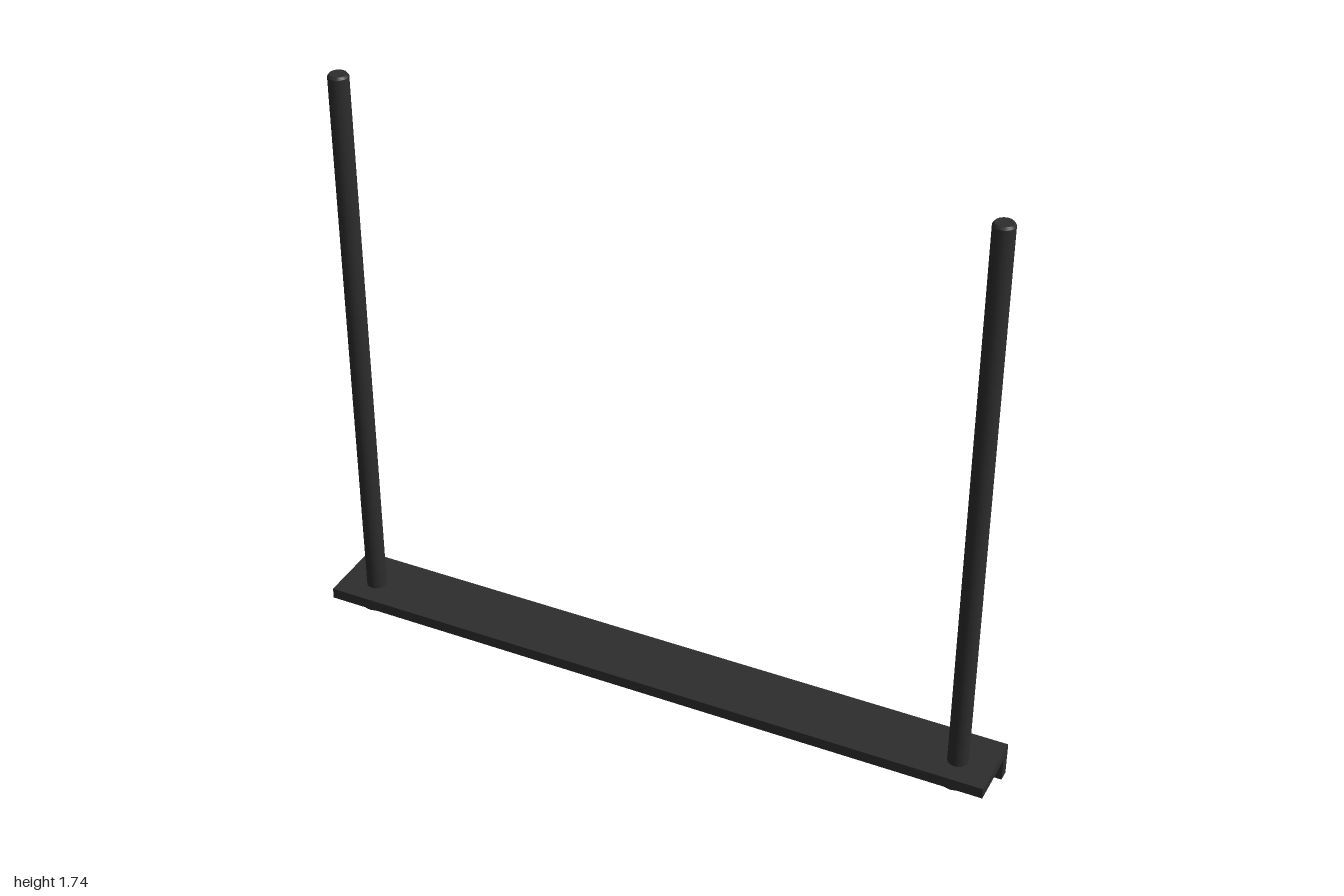
import * as THREE from 'three';
import { toCreasedNormals } from 'three/addons/utils/BufferGeometryUtils.js';

export function createModel() {
  const group = new THREE.Group();
  const blackMetal = new THREE.MeshStandardMaterial({ color: 0x2d2d2d });
  blackMetal.name = 'blackMetal';

  const add = (name, geometry, x = 0, y = 0, z = 0) => {
    const mesh = new THREE.Mesh(geometry, blackMetal);
    mesh.name = name;
    mesh.position.set(x, y, z);
    group.add(mesh);
  };

  // Turned solid from a profile of [radius, height], bottom to top
  const turned = (profile, sides) => toCreasedNormals(
    new THREE.LatheGeometry(profile.map(([r, y]) => new THREE.Vector2(r, y)), sides), 0.6);

  // L-shaped angle bar: section drawn as (-z, y) and extruded along x
  const section = new THREE.Shape([
    [-0.1, 0.068], [0.068, 0.068], [0.068, 0], [0.1, 0], [0.1, 0.1], [-0.1, 0.1],
  ].map(([a, y]) => new THREE.Vector2(a, y)));
  const bar = new THREE.ExtrudeGeometry(section, { depth: 2, bevelEnabled: false });
  bar.translate(0, 0, -1).rotateY(Math.PI / 2);
  add('angleBar', bar);

  // Threaded rods with slightly chamfered tops, each held by a bolt head below the bar
  const rod = turned([[0, 0.04], [0.029, 0.04], [0.029, 1.728], [0.024, 1.735], [0, 1.735]], 16);
  const head = turned([[0, 0.032], [0.047, 0.032], [0.056, 0.042], [0.056, 0.069], [0, 0.069]], 16);
  for (const [side, x] of [['left', 0.9], ['right', -0.9]]) {
    add(side + 'Rod', rod, x, 0, 0.018);
    add(side + 'BoltHead', head, x, 0, 0.018);
  }
  return group;
}
